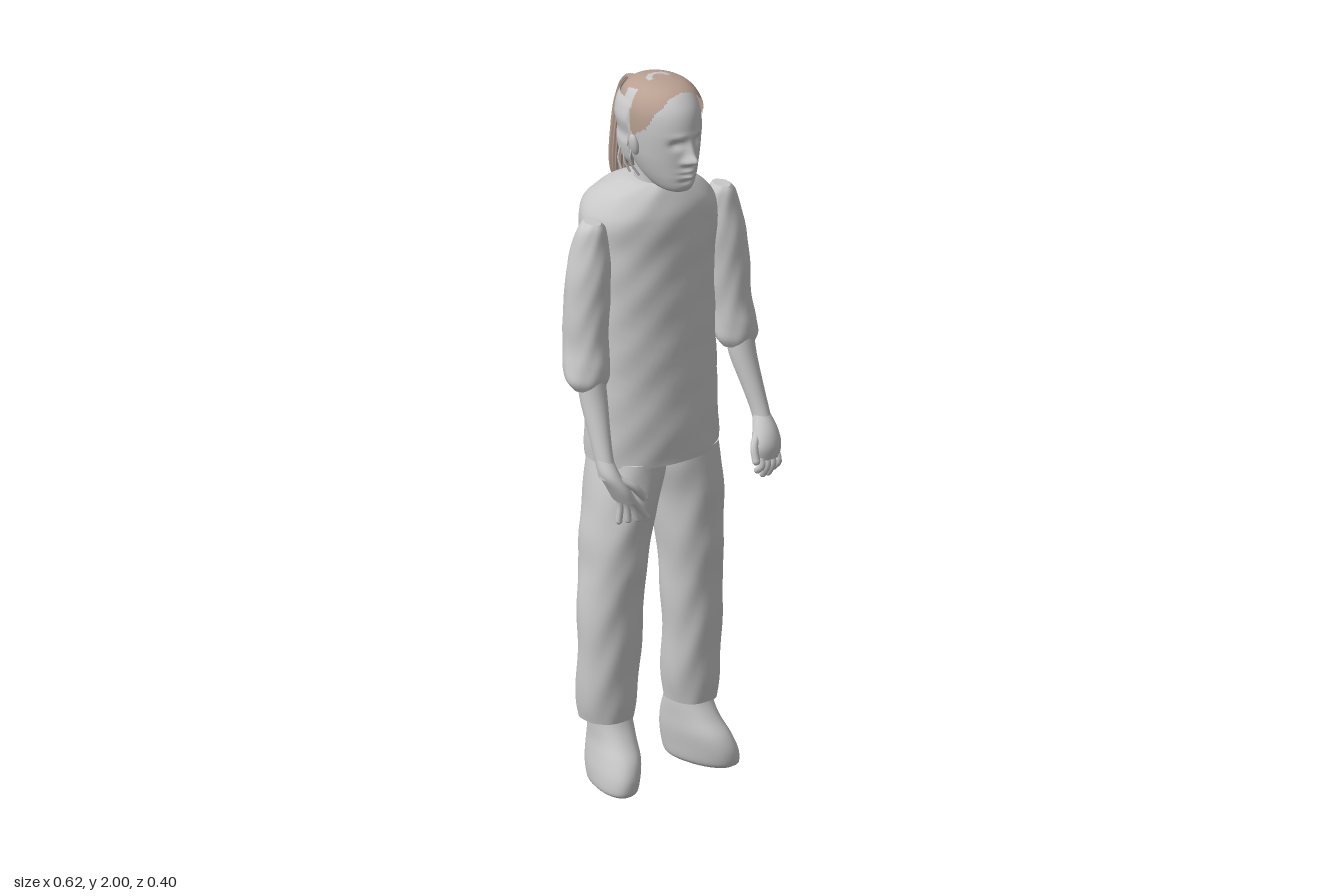
import * as THREE from 'three';

const grey = new THREE.MeshStandardMaterial({ color: 0xc8c8c8, side: THREE.DoubleSide });
grey.name = 'plain grey';
const brown = new THREE.MeshStandardMaterial({ color: 0xb89f91, side: THREE.DoubleSide });
brown.name = 'hair brown';

// Catmull-Rom blend of four values
const blend = (a, b, c, d, t) =>
  0.5 * (2 * b + (c - a) * t + (2 * a - 5 * b + 4 * c - d) * t * t + (3 * b - a - 3 * c + d) * t ** 3);

// Loft through level rings [y, x0, x1, z0, z1], listed upwards.
// power: roundness, steps: rows per ring, move: vertex rule, keep: face filter
function loft(rings, { sides = 32, steps = 5, power = 2, move, keep, caps = true } = {}) {
  const rows = [], n = rings.length, pos = [], index = [];
  for (let i = 0; i < n - 1; i++) {
    for (let s = 0; s < steps + (i === n - 2 ? 1 : 0); s++) {
      const q = [-1, 0, 1, 2].map(k => rings[Math.min(n - 1, Math.max(0, i + k))]);
      rows.push(rings[0].map((_, c) => blend(q[0][c], q[1][c], q[2][c], q[3][c], s / steps)));
    }
  }
  const pts = rows.map(([y, x0, x1, z0, z1]) => Array.from({ length: sides }, (_, j) => {
    const a = j / sides * Math.PI * 2;
    const f = v => Math.sign(v) * Math.abs(v) ** (2 / power);
    const p = new THREE.Vector3((x0 + x1) / 2 + (x1 - x0) / 2 * f(Math.cos(a)), y,
      (z0 + z1) / 2 + (z1 - z0) / 2 * f(Math.sin(a)));
    if (move) move(p, a);
    return p;
  }));
  pts.flat().forEach(p => pos.push(p.x, p.y, p.z));
  for (let i = 0; i < rows.length - 1; i++) {
    for (let j = 0; j < sides; j++) {
      const k = (j + 1) % sides;
      const mid = pts[i][j].clone().add(pts[i + 1][k]).multiplyScalar(0.5);
      if (keep && !keep(mid)) continue;
      const a = i * sides + j, b = i * sides + k;
      index.push(a, a + sides, b, b, a + sides, b + sides);
    }
  }
  // separate end caps keep the rims sharp
  if (caps) [0, rows.length - 1].forEach((r, top) => {
    const base = pos.length / 3, c = new THREE.Vector3();
    pts[r].forEach(p => { pos.push(p.x, p.y, p.z); c.addScaledVector(p, 1 / sides); });
    pos.push(c.x, c.y, c.z);
    for (let j = 0; j < sides; j++) {
      const a = base + j, b = base + (j + 1) % sides;
      index.push(base + sides, ...(top ? [b, a] : [a, b]));
    }
  });
  const g = new THREE.BufferGeometry();
  g.setAttribute('position', new THREE.Float32BufferAttribute(pos, 3));
  g.setIndex(index);
  g.computeVertexNormals();
  return g;
}

const mirror = rings => rings.map(([y, x0, x1, z0, z1]) => [y, -x1, -x0, z0, z1]);
const grow = (rings, d) => rings.map(([y, x0, x1, z0, z1]) => [y + d * 0.4, x0 - d, x1 + d, z0 - d, z1 + d]);
const curve = points => new THREE.CatmullRomCurve3(points.map(p => new THREE.Vector3(...p)));

// Push points in and out as faint cloth folds
const folds = (depth, rate, waves) => (p, a) => {
  const k = depth * Math.sin(p.y * rate + Math.sin(a * 3) * 1.5) * Math.sin(a * waves + p.y * 9);
  p.x += k * Math.cos(a);
  p.z += k * Math.sin(a);
};

export function createModel() {
  const model = new THREE.Group();
  const add = (name, geo, mat = grey) => {
    const m = new THREE.Mesh(geo, mat);
    m.name = name;
    model.add(m);
    return m;
  };
  // Finger: a tube with a round tip
  const finger = (name, points, r = 0.0095) => {
    add(name, new THREE.TubeGeometry(curve(points), 8, r, 8));
    add(name + 'Tip', new THREE.SphereGeometry(r, 8, 6)).position.set(...points[points.length - 1]);
  };

  // Loose tunic
  add('tunic', loft([
    [0.92, -0.187, 0.192, -0.155, 0.124], [1.0, -0.187, 0.192, -0.158, 0.126], [1.2, -0.183, 0.19, -0.165, 0.117],
    [1.4, -0.18, 0.19, -0.175, 0.11], [1.53, -0.18, 0.203, -0.19, 0.107], [1.6, -0.18, 0.209, -0.2, 0.105],
    [1.64, -0.163, 0.185, -0.187, 0.1], [1.68, -0.125, 0.135, -0.14, 0.085], [1.705, -0.08, 0.085, -0.09, 0.07],
    [1.712, -0.055, 0.06, -0.06, 0.06],
  ], { sides: 56, power: 2.2, steps: 6, move: folds(0.0025, 43, 5) }));

  // Trousers, folding at the knees
  const cloth = { power: 2.15, sides: 40, steps: 6, move: folds(0.003, 24, 2) };
  add('rightTrouserLeg', loft([
    [0.19, -0.235, -0.088, -0.068, 0.073], [0.24, -0.242, -0.078, -0.074, 0.077], [0.36, -0.243, -0.071, -0.07, 0.083],
    [0.5, -0.241, -0.063, -0.075, 0.09], [0.57, -0.236, -0.058, -0.079, 0.092], [0.64, -0.225, -0.048, -0.091, 0.098],
    [0.72, -0.22, -0.032, -0.103, 0.1], [0.8, -0.204, -0.02, -0.115, 0.106],
    [0.88, -0.187, 0.005, -0.127, 0.11], [0.93, -0.178, 0.01, -0.13, 0.108],
  ], cloth));
  add('leftTrouserLeg', loft([
    [0.175, 0.05, 0.187, -0.068, 0.073], [0.24, 0.041, 0.198, -0.074, 0.077], [0.36, 0.04, 0.197, -0.07, 0.083],
    [0.5, 0.036, 0.2, -0.075, 0.09], [0.57, 0.033, 0.2, -0.079, 0.092], [0.64, 0.03, 0.203, -0.091, 0.098],
    [0.72, 0.023, 0.203, -0.103, 0.1], [0.8, 0.015, 0.198, -0.115, 0.106],
    [0.88, -0.005, 0.19, -0.127, 0.11], [0.93, -0.01, 0.182, -0.13, 0.108],
  ], cloth));

  // Soft shoes, toes turned outwards
  const shoe = [
    [0, 0.072, 0.168, -0.06, 0.135], [0.012, 0.063, 0.18, -0.074, 0.148], [0.05, 0.058, 0.181, -0.085, 0.149],
    [0.09, 0.054, 0.175, -0.086, 0.133], [0.13, 0.054, 0.168, -0.08, 0.1], [0.17, 0.054, 0.167, -0.067, 0.073],
    [0.21, 0.058, 0.167, -0.055, 0.056],
  ];
  for (const s of [-1, 1]) {
    add(s > 0 ? 'leftShoe' : 'rightShoe', loft(s > 0 ? shoe : mirror(shoe), {
      power: 2.2,
      move: p => { p.x += s * 0.23 * p.z * (1 - p.y / 0.25) - (s < 0 ? 0.037 : 0); },
    }));
  }

  // Sleeves and forearms
  const sleeve = [
    [1.175, 0.2, 0.295, 0.0, 0.082], [1.2, 0.186, 0.309, -0.022, 0.09], [1.24, 0.183, 0.305, -0.047, 0.088],
    [1.3, 0.18, 0.297, -0.052, 0.079], [1.4, 0.172, 0.294, -0.054, 0.075], [1.5, 0.168, 0.283, -0.052, 0.07],
    [1.57, 0.17, 0.268, -0.04, 0.059], [1.615, 0.18, 0.253, -0.029, 0.051], [1.634, 0.196, 0.235, -0.02, 0.042],
  ];
  const forearm = [
    [0.95, 0.237, 0.284, 0.112, 0.172], [1.0, 0.237, 0.284, 0.093, 0.152], [1.06, 0.228, 0.284, 0.065, 0.13],
    [1.15, 0.212, 0.285, 0.022, 0.1], [1.22, 0.21, 0.285, 0.01, 0.085],
  ];
  add('leftSleeve', loft(sleeve, { move: folds(0.002, 40, 4) }));
  add('rightSleeve', loft(mirror(sleeve), { move: folds(0.002, 40, 4) }));
  add('leftForearm', loft(forearm, { sides: 20 }));
  add('rightForearm', loft(mirror(forearm), { sides: 20 }));

  // Hands: the left hangs down, the right reaches inwards
  add('leftPalm', loft([
    [0.885, 0.21, 0.288, 0.145, 0.19], [0.92, 0.205, 0.295, 0.135, 0.192], [0.96, 0.222, 0.292, 0.118, 0.178],
    [1.0, 0.24, 0.282, 0.1, 0.15],
  ], { sides: 20 }));
  add('rightPalm', loft([
    [0.88, -0.243, -0.19, 0.112, 0.198], [0.92, -0.265, -0.212, 0.112, 0.195], [0.96, -0.285, -0.232, 0.112, 0.178],
    [1.0, -0.284, -0.24, 0.098, 0.15],
  ], { sides: 20 }));
  for (let i = 0; i < 4; i++) {
    const x = 0.222 + i * 0.018, z = 0.125 + i * 0.021, low = [0.015, 0, 0, 0.012][i];
    finger('leftFinger' + (i + 1), [[x, 0.91, 0.165], [x, 0.87, 0.182], [x - 0.003, 0.838 + low, 0.165]]);
    finger('rightFinger' + (i + 1),
      [[-0.225, 0.9, z], [-0.208 + i * 0.005, 0.86, z], [-0.212 + i * 0.015, 0.805 + i * 0.007, z]]);
  }
  finger('leftThumb', [[0.23, 0.95, 0.15], [0.205, 0.925, 0.17], [0.2, 0.89, 0.185]], 0.011);
  finger('rightThumb', [[-0.25, 0.95, 0.165], [-0.21, 0.925, 0.185], [-0.175, 0.885, 0.188]], 0.011);

  // Neck
  add('neck', loft([
    [1.66, -0.07, 0.078, -0.07, 0.068], [1.71, -0.056, 0.064, -0.055, 0.065], [1.78, -0.056, 0.064, -0.06, 0.07],
  ], { sides: 24 }));

  // Head, with the face raised and sunk by soft bumps [x, y, depth, width, height]
  const skull = [
    [1.7, -0.02, 0.03, 0.05, 0.115], [1.712, -0.04, 0.05, 0.0, 0.138], [1.74, -0.058, 0.068, -0.045, 0.147],
    [1.78, -0.073, 0.083, -0.07, 0.148], [1.82, -0.082, 0.092, -0.085, 0.15], [1.88, -0.088, 0.098, -0.095, 0.153],
    [1.93, -0.086, 0.096, -0.095, 0.144], [1.965, -0.071, 0.081, -0.077, 0.12], [1.985, -0.047, 0.057, -0.048, 0.09],
    [1.995, -0.015, 0.025, -0.005, 0.045],
  ];
  const bumps = [
    [0, 1.805, 0.027, 0.015, 0.014], [0, 1.826, 0.016, 0.011, 0.026], [0.017, 1.799, 0.009, 0.009, 0.008],
    [-0.017, 1.799, 0.009, 0.009, 0.008], [0.034, 1.85, -0.013, 0.017, 0.012], [-0.034, 1.85, -0.013, 0.017, 0.012],
    [0, 1.771, 0.011, 0.021, 0.007], [0, 1.755, 0.01, 0.018, 0.007], [0, 1.763, -0.005, 0.026, 0.003],
    [0, 1.74, -0.006, 0.025, 0.007], [0.03, 1.874, 0.004, 0.022, 0.008], [-0.03, 1.874, 0.004, 0.022, 0.008],
  ];
  add('head', loft(skull, {
    sides: 112, steps: 9,
    move: p => {
      if (p.z < 0.05) return;
      for (const [x, y, d, w, h] of bumps)
        p.z += d * Math.exp(-(((p.x - 0.005 - x) / w) ** 2) - ((p.y - y) / h) ** 2);
    },
  }));
  for (const s of [-1, 1]) {
    const side = s > 0 ? 'left' : 'right';
    const eye = add(side + 'Eye', new THREE.SphereGeometry(0.012, 16, 10));
    eye.scale.set(1.15, 0.6, 0.6);
    eye.position.set(0.005 + s * 0.034, 1.85, 0.123);
    const ear = add(side + 'Ear', new THREE.SphereGeometry(0.026, 16, 12));
    ear.scale.set(0.4, 1.2, 0.65);
    ear.rotation.z = -s * 0.2;
    ear.position.set(0.005 + s * 0.093, 1.83, 0.028);
    // loose strands beside the jaw
    for (let i = 0; i < 3; i++) {
      const x = 0.005 + s * (0.085 + i * 0.008), z = 0.015 - i * 0.015;
      add(side + 'LooseStrand' + (i + 1), new THREE.TubeGeometry(curve(
        [[x, 1.83, z], [x + s * 0.012, 1.78, z], [x + s * (i - 1) * 0.01, 1.735 + i * 0.01, z + 0.01]]), 8, 0.0035, 5));
    }
  }

  // Hair: brown cap with grey streaks on the crown, grey shell round the back
  const streak = p => {
    const x = Math.abs(p.x - 0.003), r = Math.hypot(x, p.z - 0.02);
    return p.z < 0.021 && p.y > 1.9 && ((r > 0.02 && r < 0.036 && p.z > -0.016) || (x > 0.072 && p.z > -0.02));
  };
  const scalp = d => [...grow(skull, d), [1.9905 + d, 0.004, 0.006, 0.019, 0.021]];
  const cap = { sides: 120, steps: 9, caps: false };
  add('hairCap', loft(scalp(0.0095), {
    ...cap, keep: p => !streak(p) && (p.z > 0.02
      ? p.z < 0.112 && p.y > 1.87 + Math.max(0, p.z - 0.06) * 1.5 + 0.008 * Math.sin(p.z * 130)
      : p.y > 1.945 + 0.005 * Math.sin(p.x * 90)),
  }), brown);
  add('hairStreaks', loft(scalp(0.0095), { ...cap, keep: streak }));
  add('backHair', loft([
    [1.765, -0.085, 0.095, -0.07, 0.11], [1.79, -0.1, 0.11, -0.09, 0.12], [1.83, -0.108, 0.118, -0.1, 0.13],
    [1.86, -0.104, 0.114, -0.1, 0.13], [1.9, -0.112, 0.121, -0.106, 0.13], [1.935, -0.105, 0.115, -0.105, 0.13],
    [1.957, -0.094, 0.104, -0.098, 0.13],
  ], { ...cap, keep: p => p.z < 0.024 }));

  // Ponytail: a narrow root fanning into combed locks
  add('ponytail', loft([
    [1.615, 0.005, 0.035, -0.168, -0.145], [1.65, -0.015, 0.048, -0.177, -0.128], [1.7, -0.027, 0.055, -0.183, -0.12],
    [1.78, -0.03, 0.054, -0.178, -0.108], [1.86, -0.028, 0.042, -0.165, -0.097], [1.91, -0.025, 0.026, -0.148, -0.088],
    [1.945, -0.024, 0.016, -0.13, -0.08], [1.965, -0.018, 0.012, -0.112, -0.07],
  ], {
    sides: 96,
    move: (p, a) => {
      const k = 0.0025 * Math.sin(a * 19 + p.y * 8) + 0.001 * Math.sin(a * 31);
      p.x += k * Math.cos(a);
      p.z += k * Math.sin(a);
    },
  }), brown);

  return model;
}
